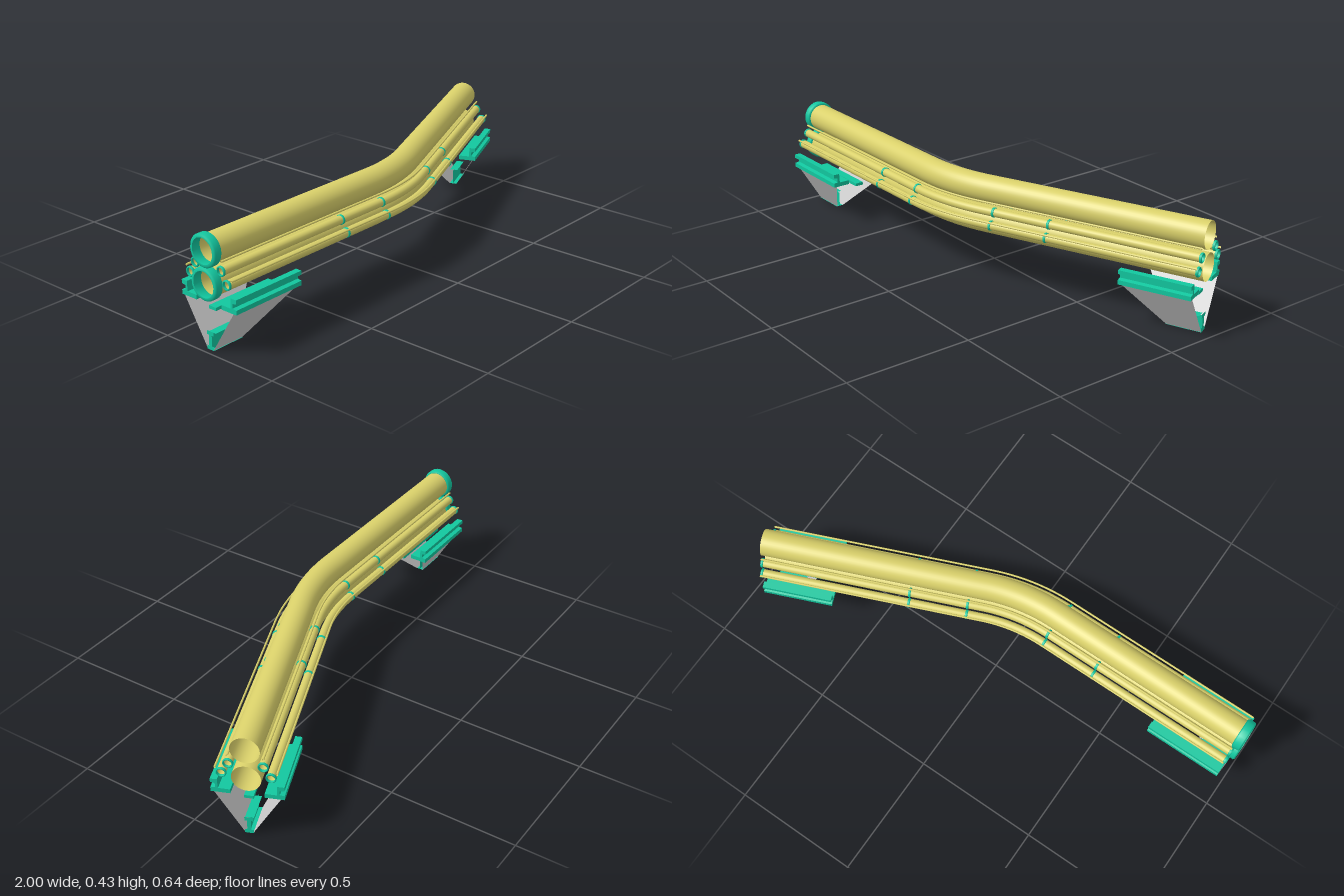
import * as THREE from 'three';

const YELLOW = new THREE.MeshStandardMaterial({ color: 0xd9d06a, side: THREE.DoubleSide });
const GREEN = new THREE.MeshStandardMaterial({ color: 0x12c79f, side: THREE.DoubleSide });
const GREEN_ONE = new THREE.MeshStandardMaterial({ color: 0x12c79f });
const GREY = new THREE.MeshStandardMaterial({ color: 0xcccccc, side: THREE.DoubleSide });

// Shared centreline: straight, a 22.5 degree bend, straight
const ANGLE = Math.PI / 8, R = 0.75, Z0 = 0.192;
const TAN = R * Math.tan(ANGLE / 2), ARC = R * ANGLE;
const START = -0.975 + TAN, END = ARC + 1.034 - TAN; // distance measured from bend start

// Point at distance u along the centreline, shifted sideways by s
function at(u, s, y) {
  const a = THREE.MathUtils.clamp(u / R, 0, ANGLE);
  const rest = u - a * R;
  return new THREE.Vector3(
    -TAN + (R + s) * Math.sin(a) + rest * Math.cos(a), y,
    Z0 - R + (R + s) * Math.cos(a) - rest * Math.sin(a));
}

class RunCurve extends THREE.Curve {
  constructor(s, y) { super(); this.s = s; this.y = y; }
  getPoint(t) { return at(START + (END - START) * t, this.s, this.y); }
}

function mesh(parent, name, geometry, material) {
  const m = new THREE.Mesh(geometry, material);
  m.name = name;
  parent.add(m);
  return m;
}

function pipe(parent, name, s, y, r, sides) {
  mesh(parent, name, new THREE.TubeGeometry(new RunCurve(s, y), 72, r, sides), YELLOW);
}

// Ring turned from a closed section, threaded on a pipe at distance u
function ring(parent, name, u, s, y, inner, outer, width) {
  const h = width / 2, b = Math.min(h, outer - inner) * 0.4;
  const section = [[inner, -h], [outer - b, -h], [outer, -h + b], [outer, h - b],
    [outer - b, h], [inner, h], [inner, -h]].map(p => new THREE.Vector2(...p));
  const m = mesh(parent, name, new THREE.LatheGeometry(section, 24), GREEN);
  m.position.copy(at(u, s, y));
  const a = THREE.MathUtils.clamp(u / R, 0, ANGLE);
  m.quaternion.setFromUnitVectors(new THREE.Vector3(0, 1, 0),
    new THREE.Vector3(Math.cos(a), 0, -Math.sin(a)));
}

// V-shaped stand; local x runs inward from the end of the pipe run
function support(name, length) {
  const g = new THREE.Group();
  g.name = name;
  const foot = 0.135;
  for (const k of [1, -1]) {
    // channel rail with an inner ledge
    const profile = [[0.06, 0.17], [0.13, 0.17], [0.13, 0.187], [0.113, 0.19], [0.113, 0.207],
      [0.13, 0.21], [0.13, 0.225], [0.105, 0.225], [0.103, 0.187], [0.06, 0.187]];
    const shape = new THREE.Shape(profile.map(([s, y]) => new THREE.Vector2(k * s, y)));
    const rail = new THREE.ExtrudeGeometry(shape, { depth: length, bevelEnabled: false });
    mesh(g, 'rail', rail.rotateY(Math.PI / 2), GREEN);

    // thin sloping leg plate
    const leg = new THREE.BufferGeometry();
    leg.setAttribute('position', new THREE.Float32BufferAttribute([
      0, 0, k * 0.013, foot, 0, k * 0.013, length, 0.172, k * 0.118, 0, 0.172, k * 0.118], 3));
    leg.setIndex(k > 0 ? [0, 1, 2, 0, 2, 3] : [0, 2, 1, 0, 3, 2]);
    leg.computeVertexNormals();
    mesh(g, 'legPlate', leg, GREY);
  }

  // middle tie bar
  mesh(g, 'tieBar', new THREE.BoxGeometry(length - 0.03, 0.012, 0.034), GREEN)
    .position.set(length / 2, 0.151, 0);

  // foot: two chords, a web, and an outward end face
  for (const y of [0.001, 0.062]) {
    const chord = new THREE.PlaneGeometry(foot - (y > 0.01 ? 0.02 : 0), 0.032);
    mesh(g, 'footChord', chord.rotateX(-Math.PI / 2), GREEN).position.set(foot / 2, y, 0);
  }
  mesh(g, 'footWeb', new THREE.PlaneGeometry(foot, 0.06), GREEN).position.set(foot / 2, 0.031, 0);
  const half = [[0.016, 0], [0.016, 0.015], [0.007, 0.015], [0.007, 0.055], [0.016, 0.055], [0.016, 0.07]];
  const outline = half.concat(half.map(([z, y]) => [-z, y]).reverse());
  const face = new THREE.ShapeGeometry(new THREE.Shape(outline.map(p => new THREE.Vector2(...p))));
  mesh(g, 'footEnd', face.rotateY(-Math.PI / 2), GREEN_ONE);
  return g;
}

export function createModel() {
  const model = new THREE.Group();
  model.name = 'pipeRun';

  // Two large pipes with flanges at one end
  for (const y of [0.371, 0.25]) {
    pipe(model, 'largePipe', 0, y, 0.0525, 40);
    ring(model, 'flange', START - 0.0075, 0, y, 0.048, 0.061, 0.035);
  }

  // Small pipes, collars and thin cables on both sides
  const collars = [START, TAN - 0.38, TAN - 0.155, ARC - TAN + 0.21, ARC - TAN + 0.44, END - 0.002];
  for (const k of [1, -1]) {
    for (const [s, y] of [[0.061, 0.308], [0.0866, 0.265]]) {
      pipe(model, 'smallPipe', k * s, y, 0.0165, 20);
      for (const u of collars) ring(model, 'collar', u, k * s, y, 0.0145, 0.019, 0.01);
    }
    for (const [s, y] of [[0.062, 0.342], [0.108, 0.284]]) pipe(model, 'cable', k * s, y, 0.004, 8);
  }

  // Stands under both ends
  const left = support('rightSupport', 0.315);
  left.position.set(-0.978, 0, Z0);
  const right = support('leftSupport', 0.277);
  right.position.copy(at(END - 0.007, 0, 0));
  right.rotation.y = Math.PI + ANGLE;
  model.add(left, right);
  return model;
}
